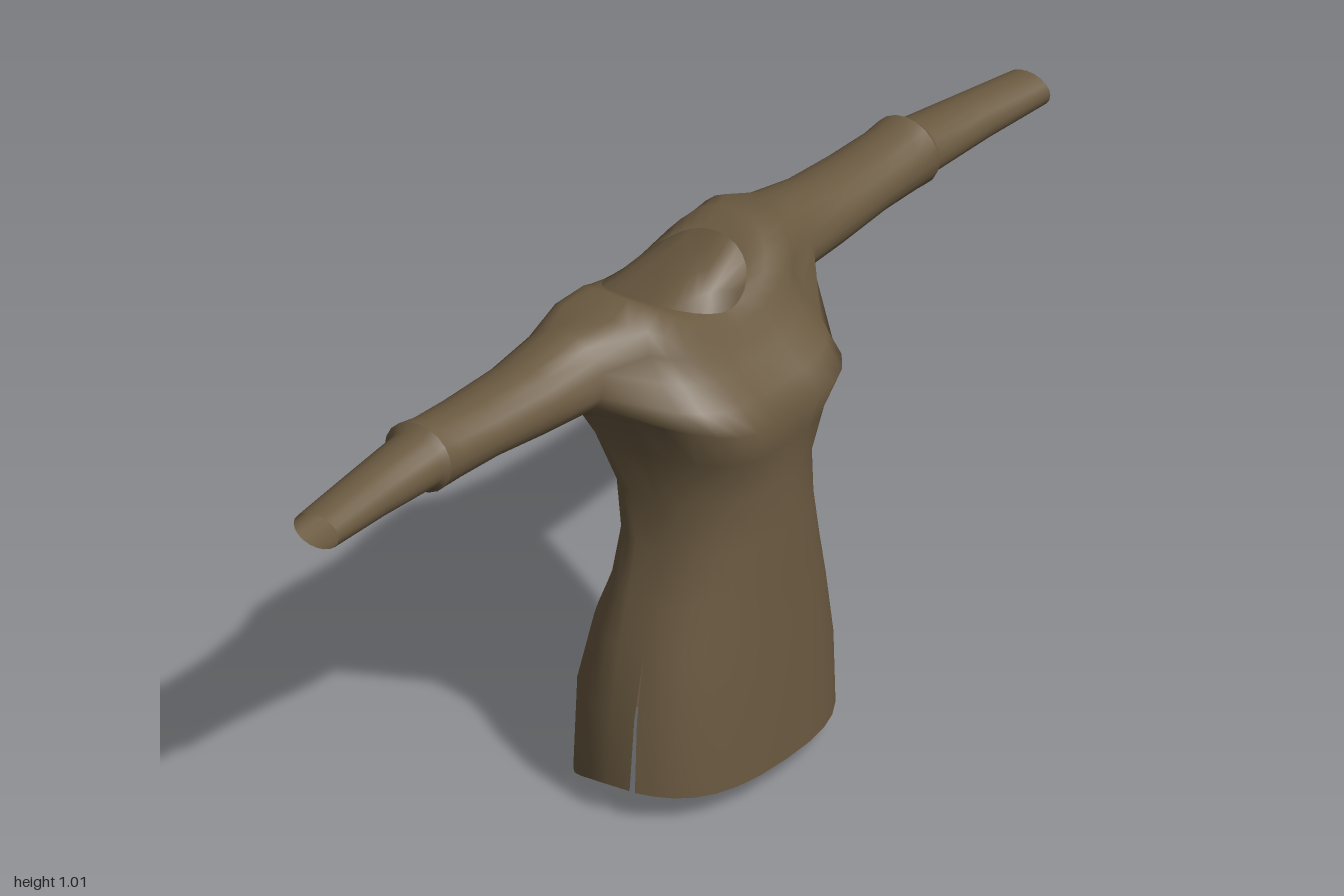
import * as THREE from 'three';

const COLS = 32; // columns around the body: 0 = left side, 8 = front, 16 = right side, 24 = back
const ARM = 3; // each armhole spans this many columns either side of the side seam

// Body rows: y front, y side, y back, half width, z front, z back, z side,
// bust swell, roundness front, roundness back (1 = ellipse, less = boxier)
const ROWS = [
  [0.045, 0.06, 0.0, 0.285, 0.192, -0.185, 0, 0, 0.8, 0.95],
  [0.2, 0.2, 0.2, 0.275, 0.193, -0.18, 0, 0, 0.8, 0.95],
  [0.33, 0.33, 0.33, 0.248, 0.19, -0.147, 0, 0, 0.8, 0.95],
  [0.42, 0.42, 0.42, 0.222, 0.19, -0.11, 0, 0, 0.8, 0.95],
  [0.52, 0.52, 0.52, 0.197, 0.19, -0.097, 0, 0, 0.8, 0.95],
  [0.62, 0.62, 0.62, 0.195, 0.188, -0.11, -0.01, 0, 0.8, 0.95],
  [0.7, 0.72, 0.7, 0.215, 0.202, -0.145, -0.03, 0.02, 0.8, 0.8],
  [0.77, 0.805, 0.78, 0.25, 0.223, -0.175, -0.045, 0.04, 0.8, 0.6],
  [0.815, 0.84, 0.83, 0.255, 0.188, -0.18, -0.05, 0.025, 0.8, 0.45],
  [0.855, 0.89, 0.87, 0.255, 0.138, -0.18, -0.055, 0.01, 0.8, 0.4],
  [0.885, 0.945, 0.9, 0.255, 0.112, -0.18, -0.06, 0, 0.8, 0.4],
  [0.905, 0.998, 0.92, 0.25, 0.097, -0.178, -0.06, 0, 0.8, 0.4],
  [0.92, 1.012, 0.933, 0.19, 0.085, -0.175, -0.06, 0, 0.9, 0.7],
  [0.935, 0.985, 0.942, 0.145, 0.07, -0.168, -0.07, 0, 1, 0.9],
];
const PIT = 7, SHOULDER = 11;
const SLITS = [2, 15], SLIT_TOP = 2; // slit columns on the left and right side

// Sleeve rings: x, y centre, z centre, y radius, z radius
const UPPER_SLEEVE = [
  [0.31, 0.904, -0.062, 0.082, 0.092],
  [0.42, 0.9, -0.054, 0.069, 0.083],
  [0.55, 0.905, -0.047, 0.06, 0.077],
  [0.65, 0.907, -0.042, 0.064, 0.073],
  [0.69, 0.91, -0.04, 0.069, 0.074],
];
const FOREARM = [
  UPPER_SLEEVE[4],
  [0.705, 0.91, -0.035, 0.055, 0.063],
  [0.85, 0.912, -0.015, 0.044, 0.055],
  [0.997, 0.915, 0.01, 0.034, 0.05],
];

function bodyPoint(k, j) {
  const [yF, yS, yB, w, zF, zB, zS, bust, eF, eB] = ROWS[k];
  const a = (j / COLS) * Math.PI * 2, c = Math.cos(a), s = Math.sin(a);
  const [yMid, zMid, e] = s > 0 ? [yF, zF, eF] : [yB, zB, eB];
  let y = yMid + (yS - yMid) * Math.abs(c) ** (k === 0 ? 4 : 1.5);
  let z = zS + (zMid - zS) * Math.abs(s) ** e;
  if (s > 0.1) z += bust * (Math.abs(Math.sin(2 * a)) - 0.5);
  if (k === 0 && j === 24) y += 0.025; // notch at the back of the hem
  return [Math.sign(c) * w * Math.abs(c) ** e, y, z];
}

// The right arm hangs slightly lower and further back than the left
function sleevePoint([x, yc, zc, ry, rz], i, side) {
  const a = -Math.PI / 2 + ((i - 3) * Math.PI) / 10;
  const d = side < 0 ? x - 0.2 : 0;
  return [side * x, yc + ry * Math.sin(a) - 0.06 * d, zc + rz * Math.cos(a) - 0.18 * d];
}

// Collects shared vertices by key so that neighbouring faces shade smoothly
function surface() {
  const pos = [], index = [], ids = new Map();
  return {
    vertex(key, point) {
      if (!ids.has(key)) {
        ids.set(key, pos.length / 3);
        pos.push(...point);
      }
      return ids.get(key);
    },
    quad(a, b, c, d, flip) {
      if (flip) index.push(a, c, b, a, d, c);
      else index.push(a, b, c, a, c, d);
    },
    geometry() {
      const g = new THREE.BufferGeometry();
      g.setAttribute('position', new THREE.Float32BufferAttribute(pos, 3));
      g.setIndex(index);
      g.computeVertexNormals();
      return g;
    },
  };
}

// Joins sleeve rings; an optional armhole loop of vertex ids is the first ring
function addSleeve(surf, rings, side, armhole) {
  const loops = rings.map((ring, r) => Array.from({ length: 20 }, (_, i) =>
    surf.vertex(`sleeve${side}:${r}:${i}`, sleevePoint(ring, i, side))));
  if (armhole) loops.unshift(armhole);
  for (let r = 0; r + 1 < loops.length; r++) {
    for (let i = 0; i < 20; i++) {
      const n = (i + 1) % 20;
      surf.quad(loops[r][i], loops[r + 1][i], loops[r + 1][n], loops[r][n], side < 0);
    }
  }
}

function tunicGeometry() {
  const surf = surface();
  // Vertices on a side slit are doubled and spread apart towards the hem
  const id = (k, col, toward = 0) => {
    const j = (col + COLS) % COLS;
    const p = bodyPoint(k, j);
    const slit = SLITS.includes(j) && k < SLIT_TOP;
    if (slit) p[2] += (toward * Math.sign(p[0]) * 0.006 * (SLIT_TOP - k)) / SLIT_TOP;
    return surf.vertex(slit ? `${k}:${j}:${toward}` : `${k}:${j}`, p);
  };
  // Body with two armholes
  for (let k = 0; k + 1 < ROWS.length; k++) {
    for (let j = 0; j < COLS; j++) {
      const inArm = [0, 16].some((m) => {
        const d = (j - m + COLS) % COLS;
        return d < ARM || d >= COLS - ARM;
      });
      if (inArm && k >= PIT && k < SHOULDER) continue;
      surf.quad(id(k, j, 1), id(k + 1, j, 1), id(k + 1, j + 1, -1), id(k, j + 1, -1));
    }
  }
  // Upper sleeves grown from the armholes
  for (const side of [1, -1]) {
    const at = (k, j) => id(k, side > 0 ? j : 16 - j);
    const loop = [];
    for (let j = -ARM; j <= ARM; j++) loop.push(at(PIT, j));
    for (let k = PIT + 1; k < SHOULDER; k++) loop.push(at(k, ARM));
    for (let j = ARM; j >= -ARM; j--) loop.push(at(SHOULDER, j));
    for (let k = SHOULDER - 1; k > PIT; k--) loop.push(at(k, -ARM));
    addSleeve(surf, UPPER_SLEEVE, side, loop);
  }
  return surf.geometry();
}

export function createModel() {
  const cloth = new THREE.MeshStandardMaterial({ color: 0x6b5a41, side: THREE.DoubleSide });
  cloth.name = 'brown cloth';
  const model = new THREE.Group();
  model.name = 'tunic';
  const add = (name, geometry) => {
    const mesh = new THREE.Mesh(geometry, cloth);
    mesh.name = name;
    model.add(mesh);
  };

  add('bodyAndUpperSleeves', tunicGeometry());

  // Forearm sleeves, stepping in from the flared upper sleeves
  for (const side of [1, -1]) {
    const surf = surface();
    addSleeve(surf, FOREARM, side);
    add(side > 0 ? 'leftForearmSleeve' : 'rightForearmSleeve', surf.geometry());
  }
  return model;
}
